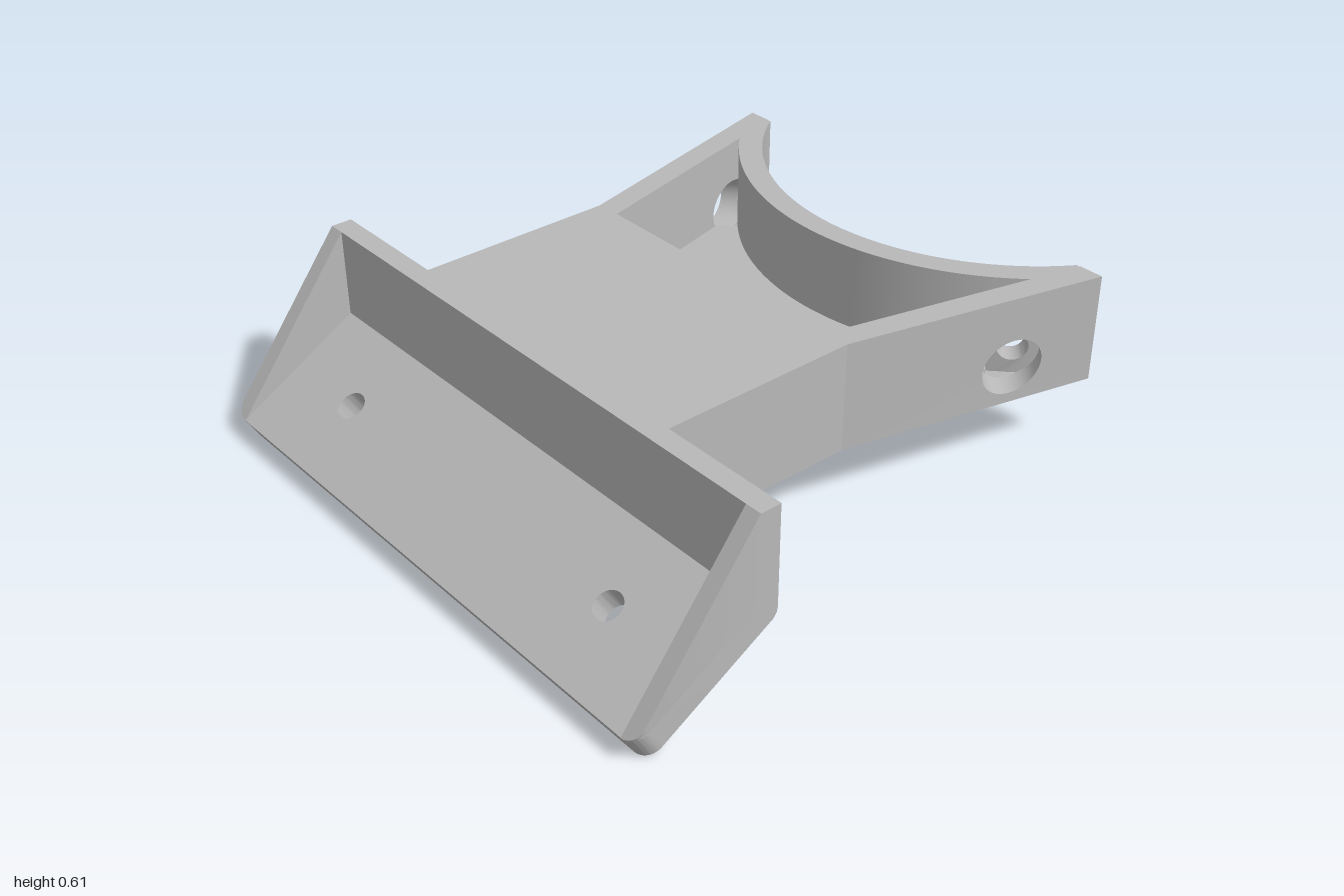
import * as THREE from 'three';
import { toCreasedNormals } from 'three/addons/utils/BufferGeometryUtils.js';

const Y0 = 0.243, Y1 = 0.605;          // underside and top of the body
const POCKET = 0.325, BORE_Y = 0.367;  // pocket floor and screw bore height
const BORE = 0.092, SCREW = 0.047;     // bore and screw hole radii
const ZC = -1.43, R0 = 0.81, R1 = 0.89; // saddle arc centre and radii
const rad = THREE.MathUtils.degToRad;

function shapeOf(points) {
  return new THREE.Shape(points.map(([x, y]) => new THREE.Vector2(x, y)));
}

function ellipseHole(shape, x, y, rx, ry) {
  const hole = new THREE.Path();
  hole.absellipse(x, y, rx, ry, 0, Math.PI * 2, true);
  shape.holes.push(hole);
}

function extrude(shape, depth, steps = 1) {
  return new THREE.ExtrudeGeometry(shape, { depth, steps, bevelEnabled: false, curveSegments: 20 });
}

// Move every vertex by a rule returning [x, y, z]
function warp(geo, rule) {
  const p = geo.attributes.position;
  for (let i = 0; i < p.count; i++) p.setXYZ(i, ...rule(p.getX(i), p.getY(i), p.getZ(i)));
  return geo;
}

// Prism over a floor plan given as [x, z] points
function plan(points, y0, y1) {
  const geo = extrude(shapeOf(points.map(([x, z]) => [x, -z])), y1 - y0);
  return geo.rotateX(-Math.PI / 2).translate(0, y0, 0);
}

// Side profile of [z, y] points swept along x
function sweepX(points, x0, width, steps = 1) {
  const geo = extrude(shapeOf(points.map(([z, y]) => [-z, y])), width, steps);
  return warp(geo, (u, y, w) => [x0 + w, y, -u]);
}

function arc(r, a0, a1, n) {
  return Array.from({ length: n + 1 }, (_, i) => {
    const a = rad(a0 + (a1 - a0) * i / n);
    return [r * Math.sin(a), ZC + r * Math.cos(a)];
  });
}

function mirrorX(geo) {
  const g = geo.index ? geo.toNonIndexed() : geo.clone();
  g.scale(-1, 1, 1);
  const p = g.attributes.position, a = new THREE.Vector3(), b = new THREE.Vector3();
  for (let i = 0; i < p.count; i += 3) {
    a.fromBufferAttribute(p, i + 1);
    b.fromBufferAttribute(p, i + 2);
    p.setXYZ(i + 1, b.x, b.y, b.z);
    p.setXYZ(i + 2, a.x, a.y, a.z);
  }
  return g;
}

// Tapered arm wall with an oblique bore, skewed towards the saddle centre
function armGeometry() {
  const t = 0.084, zA = -0.15, zB = -1;
  const outline = shapeOf([[0.14, Y0], [1, Y0], [1, Y1], [0.14, Y1]]);
  ellipseHole(outline, 0.71, BORE_Y, 0.104, BORE);
  return warp(extrude(outline, t), (u, y, w) => {
    const inBore = u > 0.141 && u < 0.999;
    const z = -u - (inBore ? 0.066 * (1 - w / t) : 0);
    const outer = 0.565 + 0.215 * Math.max(0, (z - zA) / (zB - zA));
    return [outer - t + w, y, z];
  });
}

// Curved saddle panel with a radial screw hole
function saddlePanelGeometry(a0, a1) {
  const n = 4, pts = [];
  for (let i = 0; i <= n; i++) pts.push([rad(a0 + (a1 - a0) * i / n), Y0]);
  for (let i = n; i >= 0; i--) pts.push([rad(a0 + (a1 - a0) * i / n), Y1]);
  const shape = shapeOf(pts);
  ellipseHole(shape, rad(45), BORE_Y, SCREW / 0.85, SCREW);
  return warp(extrude(shape, R1 - R0), (a, y, w) =>
    [(R0 + w) * Math.sin(a), y, ZC + (R0 + w) * Math.cos(a)]);
}

// Triangular end cheek whose tip follows the rounded plate corner
function cheekGeometry() {
  const r = 0.055, tip = [1, 0.0736], top = [0.589, Y1];
  const len = Math.hypot(tip[0] - top[0], tip[1] - top[1]);
  const h = [(tip[0] - top[0]) / len, (tip[1] - top[1]) / len];
  const p = [Math.cos(rad(30)), -Math.sin(rad(30))];
  const cosGap = h[0] * p[0] + h[1] * p[1];
  const low = d => [tip[0] - d * p[0], tip[1] - d * p[1]];
  const high = d => [tip[0] - d / cosGap * h[0], tip[1] - d / cosGap * h[1]];
  const a = low(0.002), b = high(0.002);
  const geo = sweepX([top, [0.58, Y1], [0.58, 0.314], a, b], 1 - r, r, 8);
  return warp(geo, (x, y, z) => {
    if (z < 0.9) return [x, y, z];
    const t = Math.min(r, Math.max(0, x - (1 - r)));
    const d = Math.max(0.001, r - Math.sqrt(r * r - t * t));
    const q = Math.abs(y - a[1]) < Math.abs(y - b[1]) ? low(d) : high(d);
    return [x, q[1], q[0]];
  });
}

// Sloped mounting plate with rounded lower corners and two screw holes
function plateGeometry() {
  const r = 0.055, L = 0.48;
  const s = new THREE.Shape();
  s.moveTo(-1 + r, 0);
  s.lineTo(1 - r, 0);
  s.absarc(1 - r, r, r, -Math.PI / 2, 0, false);
  s.lineTo(1, L);
  s.lineTo(-1, L);
  s.lineTo(-1, r);
  s.absarc(-1 + r, r, r, Math.PI, Math.PI * 1.5, false);
  for (const side of [-1, 1]) ellipseHole(s, side * 0.635, 0.2425, SCREW, SCREW);
  return extrude(s, 0.085).rotateX(-rad(60)).translate(0, 0, 0.9575);
}

export function createModel() {
  const model = new THREE.Group();
  model.name = 'saddleBracket';
  const grey = new THREE.MeshStandardMaterial({ color: 0xb8b8b8 });
  grey.name = 'grey';

  const add = (name, geo) => {
    const mesh = new THREE.Mesh(toCreasedNormals(geo, rad(30)), grey);
    mesh.name = name;
    model.add(mesh);
  };
  const addPair = (name, geo) => {
    add(name + 'Left', geo);
    add(name + 'Right', mirrorX(geo));
  };

  // Solid body block
  add('body', new THREE.BoxGeometry(1.13, Y1 - Y0, 0.667).translate(0, (Y0 + Y1) / 2, 0.1885));

  // Mounting flange
  add('flangeBack', sweepX([[0.589, Y1], [0.52, Y1], [0.52, 0.275], [0.524, 0.258],
    [0.534, 0.2445], [0.545, 0.238], [0.587, 0.3]], -1, 2));
  add('mountingPlate', plateGeometry());
  addPair('endCheek', cheekGeometry());

  // Pocket floor; its upper layer is cut back where the bores pass
  add('lowerFloor', plan([[-0.481, -0.14], [0.481, -0.14], [0.655, -0.825],
    ...arc(0.85, 50, -50, 40), [-0.655, -0.825]], Y0, BORE_Y - BORE));
  add('upperFloor', plan([[-0.481, -0.14], [0.481, -0.14], [0.621, -0.693],
    ...arc(0.85, 39.5, -39.5, 32), [-0.621, -0.693]], BORE_Y - BORE, POCKET));

  // Arms and curved saddle
  addPair('arm', armGeometry());
  const ring = (a0, a1, n) => plan([...arc(R1, a0, a1, n), ...arc(R0, a1, a0, n)], Y0, Y1);
  add('saddleMiddle', ring(-39.5, 39.5, 40));
  addPair('saddlePanel', saddlePanelGeometry(39.5, 50.5));
  addPair('saddleTip', ring(50.5, 57.9, 4));

  return model;
}
